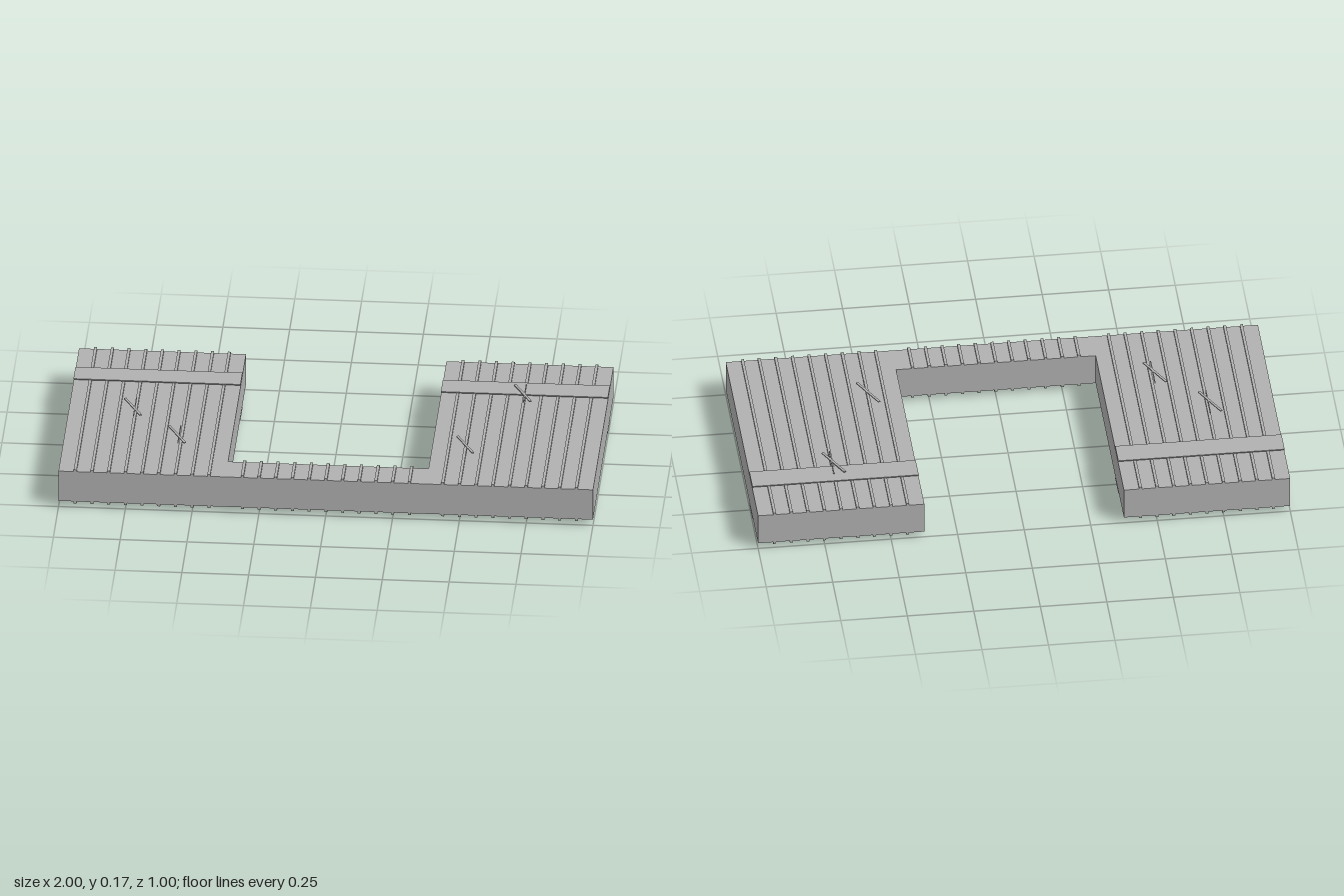
import * as THREE from 'three';

const CENTRE_Y = 0.0865;

export function createModel() {
  const group = new THREE.Group();
  group.name = 'slottedPlatform';
  const grey = new THREE.MeshStandardMaterial({ color: 0xb0b0b0 });
  grey.name = 'grey';

  const box = (parent, name, size, x, y, z, turn = 0) => {
    const mesh = new THREE.Mesh(new THREE.BoxGeometry(...size), grey);
    mesh.name = name;
    mesh.position.set(x, y, z);
    mesh.rotation.y = turn;
    parent.add(mesh);
  };

  // U-shaped slab, open towards the back
  const outline = new THREE.Shape([
    [-1, -0.5], [1, -0.5], [1, 0.5], [0.375, 0.5],
    [0.375, -0.375], [-0.375, -0.375], [-0.375, 0.5], [-1, 0.5],
  ].map(([x, y]) => new THREE.Vector2(x, y)));
  const slabGeometry = new THREE.ExtrudeGeometry(outline, { depth: 0.125, bevelEnabled: false });
  slabGeometry.rotateX(-Math.PI / 2);
  const slab = new THREE.Mesh(slabGeometry, grey);
  slab.name = 'slab';
  slab.position.y = CENTRE_Y - 0.0625;
  group.add(slab);

  // The same raised details lie on the top and the underside
  for (const [side, label] of [[1, 'top'], [-1, 'bottom']]) {
    const face = new THREE.Group();
    face.name = label + 'Details';
    group.add(face);
    const level = (offset) => CENTRE_Y + side * offset;

    // Narrow ribs running front to back, none at the inner corners
    for (let i = -15; i <= 15; i++) {
      if (Math.abs(i) === 6) continue;
      const length = Math.abs(i) < 6 ? 0.125 : 1;
      box(face, 'rib', [0.011, 0.008, length], i * 0.0625, level(0.0665), 0.5 - length / 2);
    }

    // Cross bar over the ribs of each arm
    for (const s of [-1, 1]) {
      box(face, 'crossBar', [0.625, 0.004, 0.096], s * 0.6875, level(0.0725), -0.278);
    }

    // Pairs of crossed slivers hovering above the arms
    for (const [x, z] of [[-0.76, 0], [-0.578, 0.212], [0.5, 0.212], [0.682, -0.222]]) {
      box(face, 'straightSliver', [0.004, 0.004, 0.142], x + 0.008, level(0.0845), z);
      box(face, 'slantedSliver', [0.009, 0.004, 0.148], x, level(0.0845), z, 0.48);
    }
  }
  return group;
}
